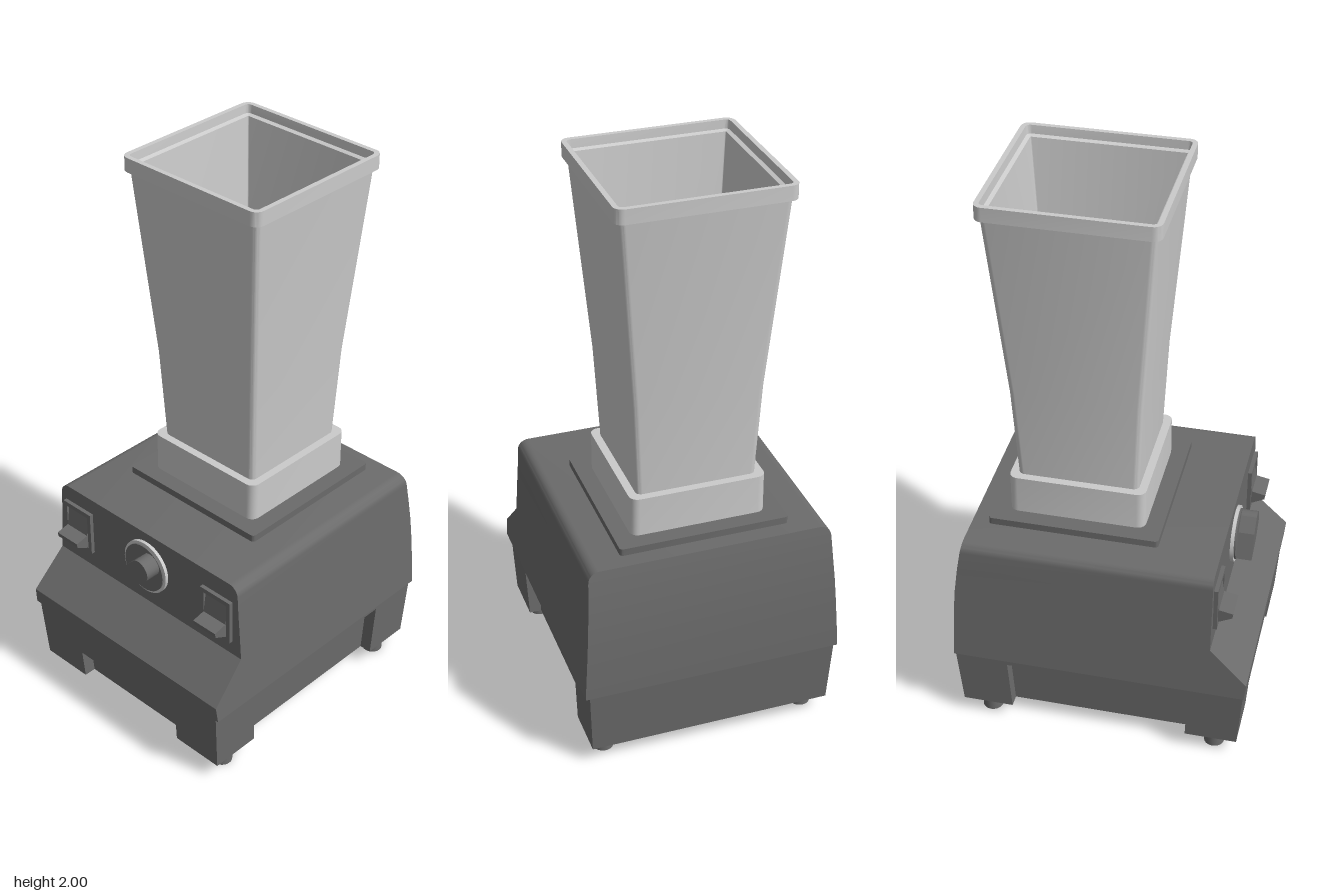
import * as THREE from 'three';
import { toCreasedNormals } from 'three/addons/utils/BufferGeometryUtils.js';

const dark = new THREE.MeshStandardMaterial({ color: 0x6b6b6b });
const light = new THREE.MeshStandardMaterial({ color: 0xcccccc });
const JAR_Z = -0.118;

function add(parent, name, geometry, material, x = 0, y = 0, z = 0) {
  const mesh = new THREE.Mesh(geometry, material);
  mesh.name = name;
  mesh.position.set(x, y, z);
  parent.add(mesh);
  return mesh;
}

// Skin over rings of [x, y, z] points (counterclockwise from above), capped at both ends
function loft(rings) {
  const pos = [];
  const tri = (a, b, c) => pos.push(...a, ...b, ...c);
  const n = rings[0].length;
  for (let k = 0; k + 1 < rings.length; k++) {
    for (let i = 0; i < n; i++) {
      const j = (i + 1) % n, a = rings[k], b = rings[k + 1];
      tri(a[i], a[j], b[j]);
      tri(a[i], b[j], b[i]);
    }
  }
  const first = rings[0], last = rings[rings.length - 1];
  for (let i = 1; i + 1 < n; i++) {
    tri(first[0], first[i + 1], first[i]);
    tri(last[0], last[i], last[i + 1]);
  }
  const geometry = new THREE.BufferGeometry();
  geometry.setAttribute('position', new THREE.Float32BufferAttribute(pos, 3));
  return toCreasedNormals(geometry, 0.45);
}

// Square ring of half width h with corner radius r
function roundedSquare(h, y, r) {
  const ring = [], steps = 5;
  for (let c = 0; c < 4; c++) {
    const mid = Math.PI / 4 + c * Math.PI / 2;
    const cx = Math.sign(Math.cos(mid)) * (h - r), cz = Math.sign(Math.sin(mid)) * (h - r);
    for (let s = 0; s <= steps; s++) {
      const a = c * Math.PI / 2 + s / steps * Math.PI / 2;
      ring.push([cx + r * Math.cos(a), y, -(cz + r * Math.sin(a))]);
    }
  }
  return ring;
}

const box4 = ([y, w, front, back]) => [[w, y, front], [w, y, back], [-w, y, back], [-w, y, front]];

// Slice of the lower base, with optional notches in the sides and front
function lowerSlice(y0, y1, sideNotch, frontNotch) {
  const p = [];
  const s = new THREE.Shape();
  p.push([0.44, 0.51]);
  if (sideNotch) p.push([0.44, 0.32], [0.395, 0.32], [0.395, -0.33], [0.44, -0.33]);
  p.push([0.44, -0.515], [-0.44, -0.515]);
  if (sideNotch) p.push([-0.44, -0.33], [-0.395, -0.33], [-0.395, 0.32], [-0.44, 0.32]);
  p.push([-0.44, 0.51]);
  if (frontNotch) p.push([-0.24, 0.51], [-0.24, 0.465], [0.24, 0.465], [0.24, 0.51]);
  p.forEach(([x, z], i) => (i ? s.lineTo(x, -z) : s.moveTo(x, -z)));
  const g = new THREE.ExtrudeGeometry(s, { depth: y1 - y0, bevelEnabled: false });
  g.rotateX(-Math.PI / 2).translate(0, y0, 0);
  // Taper towards the floor
  const v = g.attributes.position;
  for (let i = 0; i < v.count; i++) {
    const t = (0.3 - v.getY(i)) / 0.235;
    v.setX(i, v.getX(i) * (1 - 0.023 * t));
    v.setZ(i, v.getZ(i) * (1 - 0.034 * t));
  }
  g.computeVertexNormals();
  return g;
}

function makeSwitch(x, y) {
  const g = new THREE.Group();
  g.name = 'rockerSwitch';
  g.position.set(x, y, 0.39);
  // Bezel with a window
  const frame = new THREE.Shape([[-0.068, -0.083], [0.068, -0.083], [0.068, 0.083], [-0.068, 0.083]]
    .map(p => new THREE.Vector2(...p)));
  frame.holes.push(new THREE.Path([[-0.052, -0.066], [-0.052, 0.066], [0.052, 0.066], [0.052, -0.066]]
    .map(p => new THREE.Vector2(...p))));
  add(g, 'switchBezel', new THREE.ExtrudeGeometry(frame, { depth: 0.014, bevelEnabled: false }), dark);
  // Paddle: sloping face running down to a jutting lever
  const side = new THREE.Shape([[0, -0.062], [0.02, -0.062], [0.062, -0.04], [0.065, -0.022], [0.016, -0.012], [0.004, 0.064], [0, 0.064]]
    .map(p => new THREE.Vector2(...p)));
  const paddle = new THREE.ExtrudeGeometry(side, { depth: 0.1, bevelEnabled: false });
  paddle.translate(0, 0, -0.05).rotateY(-Math.PI / 2);
  add(g, 'switchPaddle', paddle, dark);
  return g;
}

export function createModel() {
  const model = new THREE.Group();
  model.name = 'blender';

  // Upper housing: rows of [y, half width, front z, back z], rounded along the top sides
  const rows = [
    [0.3, 0.455, 0.514, -0.515], [0.36, 0.451, 0.52, -0.514], [0.49, 0.442, 0.39, -0.509],
    [0.58, 0.436, 0.39, -0.502], [0.67, 0.429, 0.39, -0.491],
  ];
  for (let i = 0; i <= 6; i++) {
    const a = i / 6 * Math.PI / 2, y = 0.742 + 0.038 * Math.sin(a);
    rows.push([y, 0.387 + 0.038 * Math.cos(a), 0.39, -0.479 + (y - 0.742) * 0.2]);
  }
  add(model, 'upperHousing', loft(rows.map(box4)), dark);

  // Lower base with shallow grip recesses
  const lower = new THREE.Group();
  lower.name = 'lowerBase';
  add(lower, 'lowerBaseBottom', lowerSlice(0.065, 0.175, true, true), dark);
  add(lower, 'lowerBaseMiddle', lowerSlice(0.175, 0.268, true, false), dark);
  add(lower, 'lowerBaseTop', lowerSlice(0.268, 0.3, false, false), dark);
  model.add(lower);

  // Feet
  for (const x of [-0.368, 0.368]) for (const z of [-0.41, 0.405])
    add(model, 'foot', new THREE.CylinderGeometry(0.036, 0.036, 0.07, 24), dark, x, 0.035, z);

  // Mounting pad and collar under the jar
  add(model, 'mountingPad', loft([0.775, 0.805].map(y => roundedSquare(0.295, y, 0.012))), dark, 0, 0, JAR_Z);
  add(model, 'jarCollar', loft([0.805, 0.945].map(y => roundedSquare(0.236, y, 0.03))), light, 0, 0, JAR_Z);

  // Jar: [half width, y, corner radius], up the outside, over the rim, down the inside
  const jar = [
    [0.208, 0.94, 0.02], [0.224, 1.28, 0.02], [0.277, 1.95, 0.02], [0.293, 1.95, 0.03], [0.293, 2, 0.03],
    [0.276, 2, 0.015], [0.274, 1.97, 0.015], [0.261, 1.965, 0.004], [0.211, 1.28, 0.004], [0.198, 0.96, 0.004],
  ];
  add(model, 'jar', loft(jar.map(r => roundedSquare(...r))), light, 0, 0, JAR_Z);

  // Switches
  model.add(makeSwitch(-0.335, 0.638), makeSwitch(0.335, 0.628));

  // Dial with a pointer grip
  const dial = new THREE.Group();
  dial.name = 'speedDial';
  dial.position.set(0.003, 0.645, 0.39);
  const disc = (r, d) => new THREE.CylinderGeometry(r, r, d, 48).rotateX(Math.PI / 2);
  add(dial, 'dialRing', disc(0.1, 0.012), light, 0, 0, 0.006);
  add(dial, 'dialFace', disc(0.09, 0.018), dark, 0, 0, 0.009);
  const grip = new THREE.Shape();
  grip.moveTo(-0.088, 0).lineTo(0, -0.04).lineTo(0.06, -0.04);
  grip.quadraticCurveTo(0.088, -0.03, 0.088, 0).quadraticCurveTo(0.088, 0.03, 0.06, 0.04).lineTo(0, 0.04);
  const pointer = add(dial, 'dialPointer', new THREE.ExtrudeGeometry(grip, { depth: 0.073, bevelEnabled: false }), dark);
  pointer.rotation.z = Math.PI / 4;
  model.add(dial);

  return model;
}
